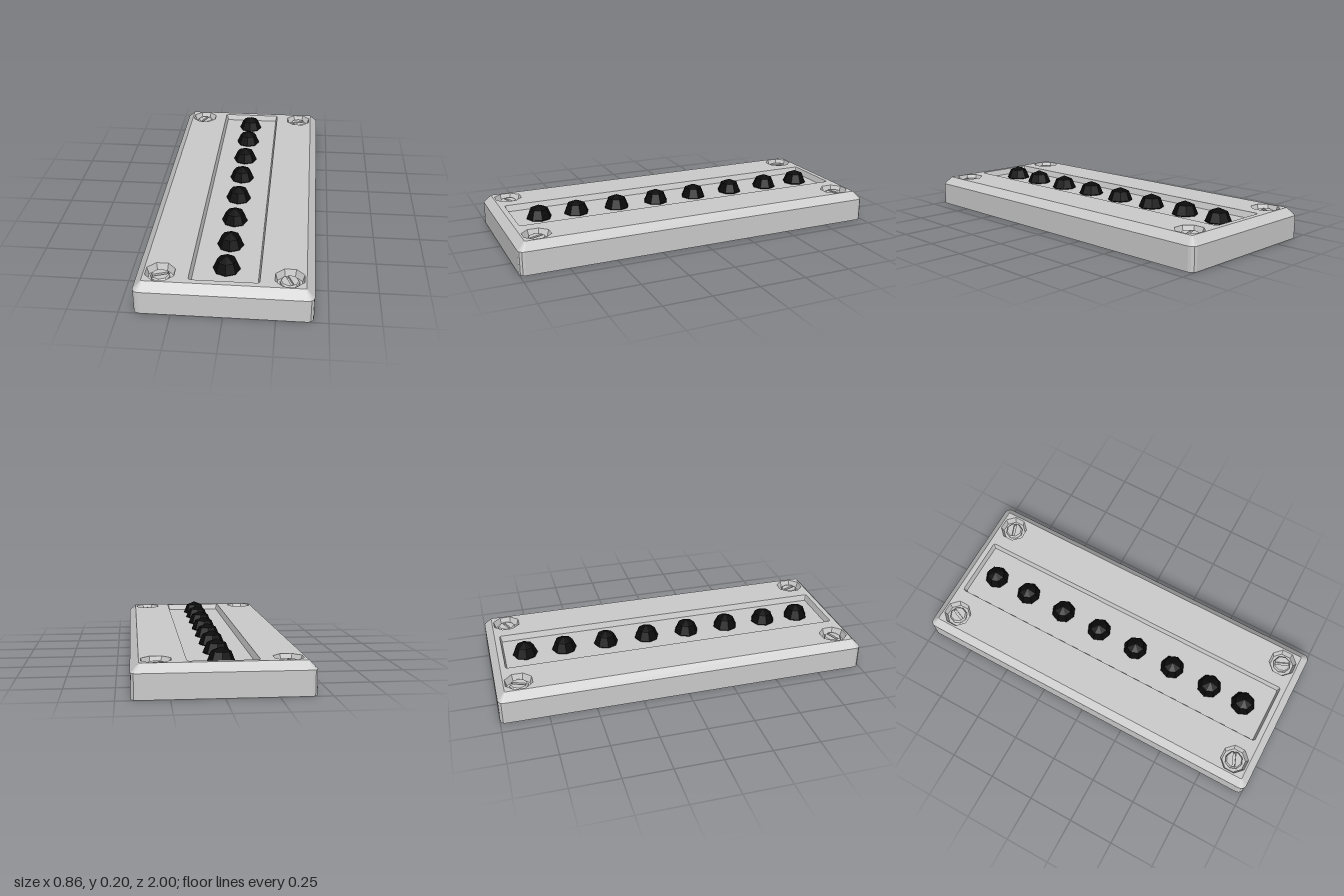
import * as THREE from 'three';
import { mergeGeometries } from 'three/addons/utils/BufferGeometryUtils.js';

const grey = new THREE.MeshStandardMaterial({ color: 0xcccccc, flatShading: true });
const black = new THREE.MeshStandardMaterial({ color: 0x0a0a0a, flatShading: true });

// Outlines run counter-clockwise seen from above; outline y is world -z
function roundedRect(w, d, r, steps) {
  const pts = [];
  [[1, 1], [-1, 1], [-1, -1], [1, -1]].forEach(([sx, sy], c) => {
    for (let i = 0; i <= steps; i++) {
      const a = (c + i / steps) * Math.PI / 2;
      pts.push(new THREE.Vector2(sx * (w - r) + r * Math.cos(a), sy * (d - r) + r * Math.sin(a)));
    }
  });
  return pts;
}

function octagon(r, cx = 0, cy = 0) {
  return Array.from({ length: 8 }, (_, i) => {
    const a = (i + 0.5) * Math.PI / 4;
    return new THREE.Vector2(cx + r * Math.cos(a), cy + r * Math.sin(a));
  });
}

// Walls between successive [outline, height] rings: rising faces out, sinking faces in
function walls(...rings) {
  const pos = [];
  for (let k = 0; k + 1 < rings.length; k++) {
    const [a, ya] = rings[k], [b, yb] = rings[k + 1];
    a.forEach((p, i) => {
      const j = (i + 1) % a.length;
      const q = [[p, ya], [a[j], ya], [b[j], yb], [b[i], yb]];
      for (const n of [0, 1, 2, 0, 2, 3]) pos.push(q[n][0].x, q[n][1], -q[n][0].y);
    });
  }
  const g = new THREE.BufferGeometry();
  g.setAttribute('position', new THREE.Float32BufferAttribute(pos, 3));
  g.computeVertexNormals();
  return g;
}

// Horizontal face with optional holes
function cap(outline, y, holes = [], down = false) {
  const shape = new THREE.Shape(outline);
  shape.holes = holes.map(h => new THREE.Path(h));
  const g = new THREE.ShapeGeometry(shape).toNonIndexed();
  g.deleteAttribute('uv');
  return g.rotateX(down ? Math.PI / 2 : -Math.PI / 2).translate(0, y, 0);
}

function addMesh(parent, name, parts, material = grey) {
  const mesh = new THREE.Mesh(Array.isArray(parts) ? mergeGeometries(parts) : parts, material);
  mesh.name = name;
  parent.add(mesh);
  return mesh;
}

export function createModel() {
  const model = new THREE.Group();
  model.name = 'buttonPanel';
  const top = 0.163, floorY = 0.13, wellY = 0.128;

  // Screw positions (x, z) and slot angles
  const screws = [[-0.31, -0.88, 67], [0.31, -0.88, 20], [-0.31, 0.88, 20], [0.31, 0.88, -67]];

  // Case with bevelled rim, openings cut in the top
  const base = roundedRect(0.43, 1, 0.03, 3);
  const rim = roundedRect(0.39, 0.96, 0.006, 3);
  const trayTop = roundedRect(0.17, 0.932, 0.012, 2);
  const trayFloor = roundedRect(0.16, 0.922, 0.008, 2);
  const wellTops = screws.map(([x, z]) => octagon(0.076, x, -z));
  addMesh(model, 'case', [
    walls([base, 0], [base, 0.123], [rim, top]),
    cap(base, 0, [], true),
    cap(rim, top, [trayTop, ...wellTops]),
  ]);

  // Sunken tray for the buttons
  addMesh(model, 'buttonTray', [walls([trayTop, top], [trayFloor, floorY]), cap(trayFloor, floorY)]);

  // Corner wells with slotted screws
  const head = octagon(0.048), headTop = octagon(0.042);
  const slot = roundedRect(0.037, 0.007, 0.001, 1);
  screws.forEach(([x, z, angle], i) => {
    const wellFloor = octagon(0.064, x, -z);
    addMesh(model, 'screwWell', [walls([wellTops[i], top], [wellFloor, wellY]), cap(wellFloor, wellY)]);
    const screw = addMesh(model, 'screw', [
      walls([head, 0], [head, 0.012], [headTop, 0.02]),
      cap(headTop, 0.02, [slot]),
      walls([slot, 0.02], [slot, 0.008]),
      cap(slot, 0.008),
    ]);
    screw.position.set(x, wellY, z);
    screw.rotation.y = angle * Math.PI / 180;
  });

  // Row of faceted buttons
  const ball = new THREE.SphereGeometry(0.068, 8, 4);
  [-0.81, -0.595, -0.36, -0.125, 0.11, 0.345, 0.578, 0.785].forEach(z => {
    addMesh(model, 'button', ball, black).position.set(0, 0.135, z);
  });
  return model;
}
